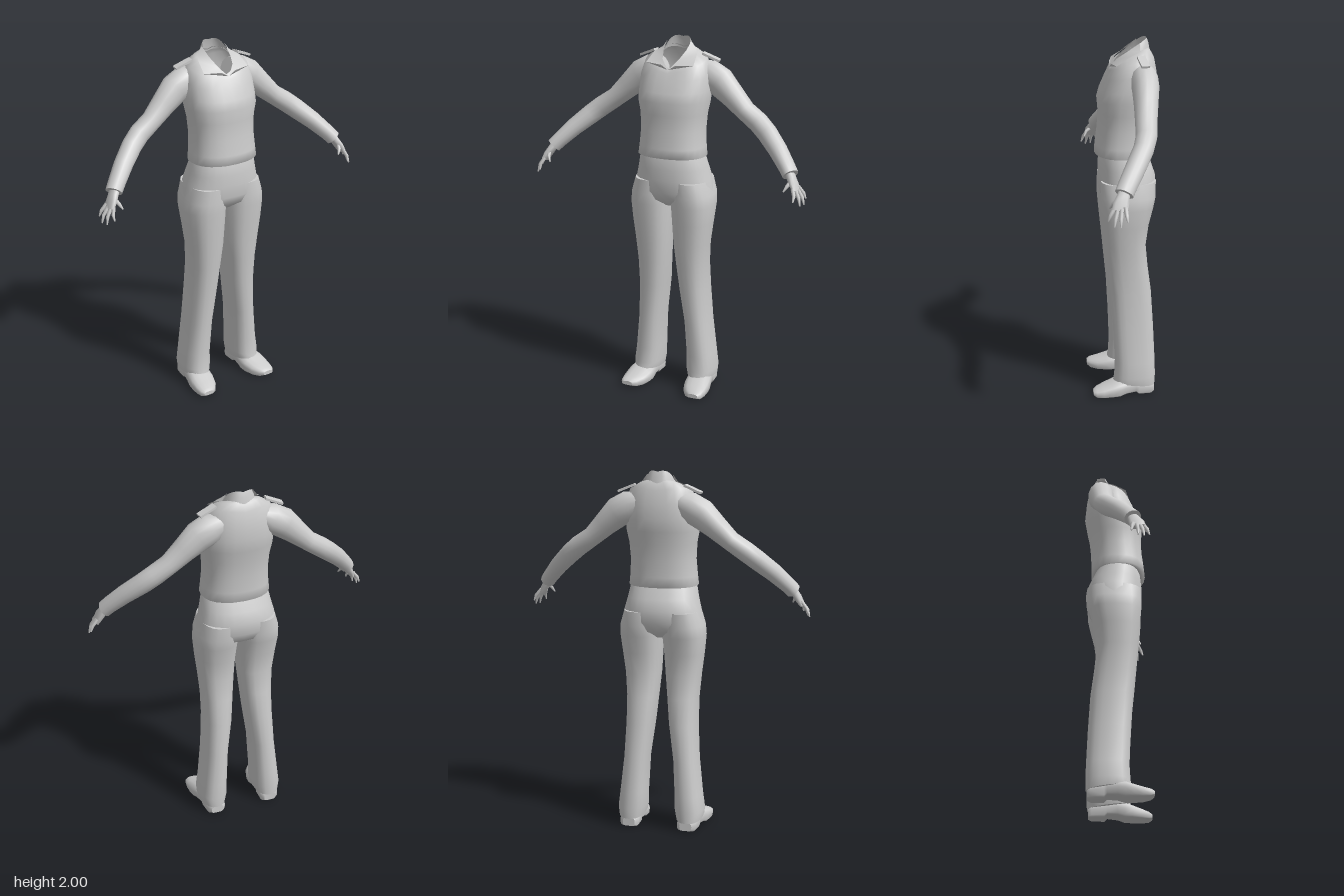
import * as THREE from 'three';

const V = (x, y, z) => new THREE.Vector3(x, y, z);
const cloth = new THREE.MeshStandardMaterial({ color: 0xcccccc, side: THREE.DoubleSide });
cloth.name = 'plain light grey';

// Superellipse coordinates on a unit circle
function unit(i, n, e) {
  const a = (i / n) * Math.PI * 2, c = Math.cos(a), s = Math.sin(a);
  return [Math.sign(c) * Math.abs(c) ** (2 / e), Math.sign(s) * Math.abs(s) ** (2 / e)];
}

// Skin over closed rings of equal size, with optional flat ends, faces outward
function loft(rings, capStart = true, capEnd = true) {
  const n = rings[0].length, pts = rings.flat(), index = [];
  for (let r = 0; r < rings.length - 1; r++)
    for (let i = 0; i < n; i++) {
      const a = r * n + i, b = r * n + (i + 1) % n;
      index.push(a, b, a + n, b, b + n, a + n);
    }
  const cap = (ring, flip) => {
    const base = pts.length;
    const mid = ring.reduce((m, p) => m.add(p), V(0, 0, 0)).divideScalar(n);
    pts.push(...ring, mid);
    for (let i = 0; i < n; i++) {
      const a = base + i, b = base + (i + 1) % n;
      index.push(...(flip ? [b, a, base + n] : [a, b, base + n]));
    }
  };
  if (capStart) cap(rings[0], true);
  if (capEnd) cap(rings[rings.length - 1], false);
  let volume = 0;
  const centre = pts.reduce((m, p) => m.add(p), V(0, 0, 0)).divideScalar(pts.length);
  const rel = pts.map(p => p.clone().sub(centre));
  for (let i = 0; i < index.length; i += 3)
    volume += rel[index[i]].dot(rel[index[i + 1]].clone().cross(rel[index[i + 2]]));
  if (volume < 0) index.reverse();
  const g = new THREE.BufferGeometry().setFromPoints(pts);
  g.setIndex(index);
  g.computeVertexNormals();
  return g;
}

// Roughly level ring: heights at front and back, x range, z range, side lift
function level(yF, yB, x0, x1, zF, zB, lift = 0, e = 2.3, n = 24) {
  return Array.from({ length: n }, (_, i) => {
    const [c, s] = unit(i, n, e);
    return V((x0 + x1) / 2 + c * (x1 - x0) / 2,
      (yF + yB) / 2 + s * (yF - yB) / 2 + lift * Math.abs(c),
      (zF + zB) / 2 + s * (zF - zB) / 2);
  });
}

// Limb along stations [x, y, z, thickness radius, z-side radius]
function limb(stations, side, n = 12, e = 2) {
  const c = stations.map(p => V(p[0] * side, p[1], p[2]));
  return loft(stations.map((p, k) => {
    const t = c[Math.min(k + 1, c.length - 1)].clone().sub(c[Math.max(k - 1, 0)]).normalize();
    const w = V(0, 0, 1).addScaledVector(t, -t.z).normalize();
    const v = t.clone().cross(w);
    return Array.from({ length: n }, (_, i) => {
      const [a, b] = unit(i, n, e);
      return c[k].clone().addScaledVector(v, a * p[3]).addScaledVector(w, b * p[4]);
    });
  }));
}

export function createModel() {
  const group = new THREE.Group();
  const add = (name, geometry, parent = group) => {
    const m = new THREE.Mesh(geometry, cloth);
    m.name = name;
    parent.add(m);
    return m;
  };

  // Shirt body: front y, back y, half width, front z, back z, shoulder lift
  add('shirtBody', loft([
    [1.38, 1.37, 0.175, 0.125, -0.125, 0],
    [1.38, 1.375, 0.192, 0.155, -0.15, 0],
    [1.43, 1.43, 0.186, 0.15, -0.15, 0],
    [1.52, 1.52, 0.18, 0.138, -0.153, 0],
    [1.61, 1.61, 0.186, 0.134, -0.163, 0],
    [1.68, 1.68, 0.2, 0.14, -0.178, 0],
    [1.73, 1.75, 0.2, 0.126, -0.19, 0],
    [1.79, 1.83, 0.195, 0.098, -0.182, 0.01],
    [1.83, 1.9, 0.172, 0.075, -0.168, 0.03],
    [1.842, 1.932, 0.115, 0.064, -0.15, 0.035],
    [1.848, 1.945, 0.082, 0.056, -0.143, 0.03],
  ].map(([f, b, w, zf, zb, l]) => level(f, b, -w, w, zf, zb, l)), true, false));

  // Open standing collar
  add('collarBand', loft([
    level(1.842, 1.93, -0.088, 0.088, 0.06, -0.148, 0.03),
    level(1.85, 1.97, -0.08, 0.08, 0.056, -0.142, 0.025),
    level(1.856, 2.0, -0.068, 0.068, 0.048, -0.132, 0.02, 2.5),
  ], false, false));

  // Trouser seat
  add('trouserSeat', loft([
    [1.4, 0.17, 0.115, -0.12],
    [1.37, 0.185, 0.128, -0.132],
    [1.31, 0.197, 0.135, -0.16],
    [1.25, 0.212, 0.136, -0.18],
    [1.18, 0.228, 0.134, -0.174],
    [1.13, 0.232, 0.115, -0.15],
    [1.09, 0.15, 0.06, -0.09],
  ].map(([y, w, f, b]) => level(y, y, -w, w, f, b))));

  for (const s of [1, -1]) {
    const half = new THREE.Group();
    half.name = s > 0 ? 'leftSide' : 'rightSide';
    group.add(half);

    // Trouser leg: y, inner x, outer x, front z, back z
    add('trouserLeg', loft([
      [1.24, 0.01, 0.21, 0.128, -0.172],
      [1.16, 0.002, 0.234, 0.132, -0.17],
      [1.1, 0.003, 0.239, 0.129, -0.157],
      [1.0, 0.01, 0.229, 0.12, -0.132],
      [0.88, 0.017, 0.214, 0.108, -0.116],
      [0.75, 0.03, 0.203, 0.096, -0.128],
      [0.6, 0.045, 0.202, 0.081, -0.147],
      [0.4, 0.073, 0.212, 0.069, -0.158],
      [0.2, 0.083, 0.234, 0.061, -0.166],
      [0.11, 0.084, 0.246, 0.066, -0.168],
      [0.065, 0.094, 0.24, 0.072, -0.165],
    ].map(([y, a, b, f, k], i) =>
      level(i === 10 ? 0.08 : y, i === 10 ? 0.05 : y, s * a, s * b, f, k, 0, 2.4, 20))));

    // Shoe: z, centre x, half width, sole y, top y
    add('shoe', loft([
      [-0.158, 0.165, 0.035, 0.006, 0.06],
      [-0.14, 0.166, 0.054, 0, 0.08],
      [-0.07, 0.17, 0.058, 0, 0.1],
      [-0.055, 0.171, 0.058, 0.016, 0.1],
      [0.0, 0.175, 0.066, 0.012, 0.1],
      [0.04, 0.178, 0.073, 0, 0.095],
      [0.08, 0.182, 0.074, 0, 0.08],
      [0.13, 0.19, 0.066, 0, 0.062],
      [0.17, 0.2, 0.05, 0.004, 0.05],
      [0.188, 0.205, 0.03, 0.014, 0.038],
    ].map(([z, x, w, lo, hi]) => Array.from({ length: 14 }, (_, i) => {
      const [c, u] = unit(i, 14, u0(i));
      return V(s * (x + c * w), (lo + hi) / 2 + u * (hi - lo) / 2, z);
    }))), half);

    // Sleeve with cuff
    add('sleeve', limb([
      [0.1, 1.84, -0.095, 0.055, 0.06],
      [0.165, 1.812, -0.097, 0.083, 0.074],
      [0.235, 1.775, -0.096, 0.083, 0.072],
      [0.31, 1.708, -0.088, 0.067, 0.064],
      [0.39, 1.635, -0.078, 0.054, 0.058],
      [0.47, 1.58, -0.068, 0.056, 0.056],
      [0.53, 1.532, -0.045, 0.055, 0.054],
      [0.61, 1.462, 0.005, 0.05, 0.053],
      [0.68, 1.39, 0.055, 0.044, 0.05],
      [0.708, 1.357, 0.075, 0.042, 0.049],
    ], s, 14), half);

    // Hand with four fingers and a thumb
    add('palm', limb([
      [0.695, 1.375, 0.068, 0.024, 0.03],
      [0.716, 1.342, 0.082, 0.021, 0.034],
      [0.735, 1.312, 0.094, 0.019, 0.042],
      [0.752, 1.28, 0.103, 0.013, 0.04],
    ], s, 10, 2.4), half);
    [
      ['indexFinger', [0.74, 1.295, 0.128], [0.755, 1.263, 0.148], [0.753, 1.232, 0.16]],
      ['middleFinger', [0.748, 1.292, 0.112], [0.774, 1.25, 0.125], [0.784, 1.21, 0.132]],
      ['ringFinger', [0.753, 1.292, 0.093], [0.785, 1.25, 0.099], [0.796, 1.211, 0.101]],
      ['littleFinger', [0.752, 1.3, 0.074], [0.782, 1.265, 0.07], [0.793, 1.236, 0.066]],
      ['thumb', [0.722, 1.332, 0.1], [0.71, 1.308, 0.132], [0.695, 1.28, 0.146]],
    ].forEach(([name, a, b, c]) =>
      add(name, limb([[...a, 0.011, 0.012], [...b, 0.01, 0.01], [...c, 0.004, 0.004]], s, 6), half));

    // Folded collar wing, a strip from the neckline out to its point
    const inner = [[0.07, 1.985, -0.085], [0.066, 1.945, -0.025], [0.046, 1.9, 0.035], [0.003, 1.85, 0.068]];
    const outer = [[0.1, 1.945, -0.085], [0.125, 1.925, -0.03], [0.138, 1.878, 0.045], [0.04, 1.874, 0.066]];
    const wing = new THREE.BufferGeometry().setFromPoints(
      [...inner, ...outer].map(([x, y, z]) => V(s * x, y, z)));
    const faces = [];
    for (let i = 0; i < 3; i++) faces.push(i, i + 1, i + 4, i + 1, i + 5, i + 4);
    wing.setIndex(s > 0 ? faces : faces.reverse());
    wing.computeVertexNormals();
    add('collarWing', wing, half);

    // Shoulder tab
    const tab = add('shoulderTab', new THREE.BoxGeometry(0.1, 0.012, 0.045), half);
    tab.position.set(s * 0.185, 1.908, -0.09);
    tab.rotation.set(0, s * 0.15, -s * 0.38);
  }
  return group;
}

// Shoe outline: rounded on top, square at the sole
function u0(i) {
  return i > 7 ? 5 : 2.2;
}
